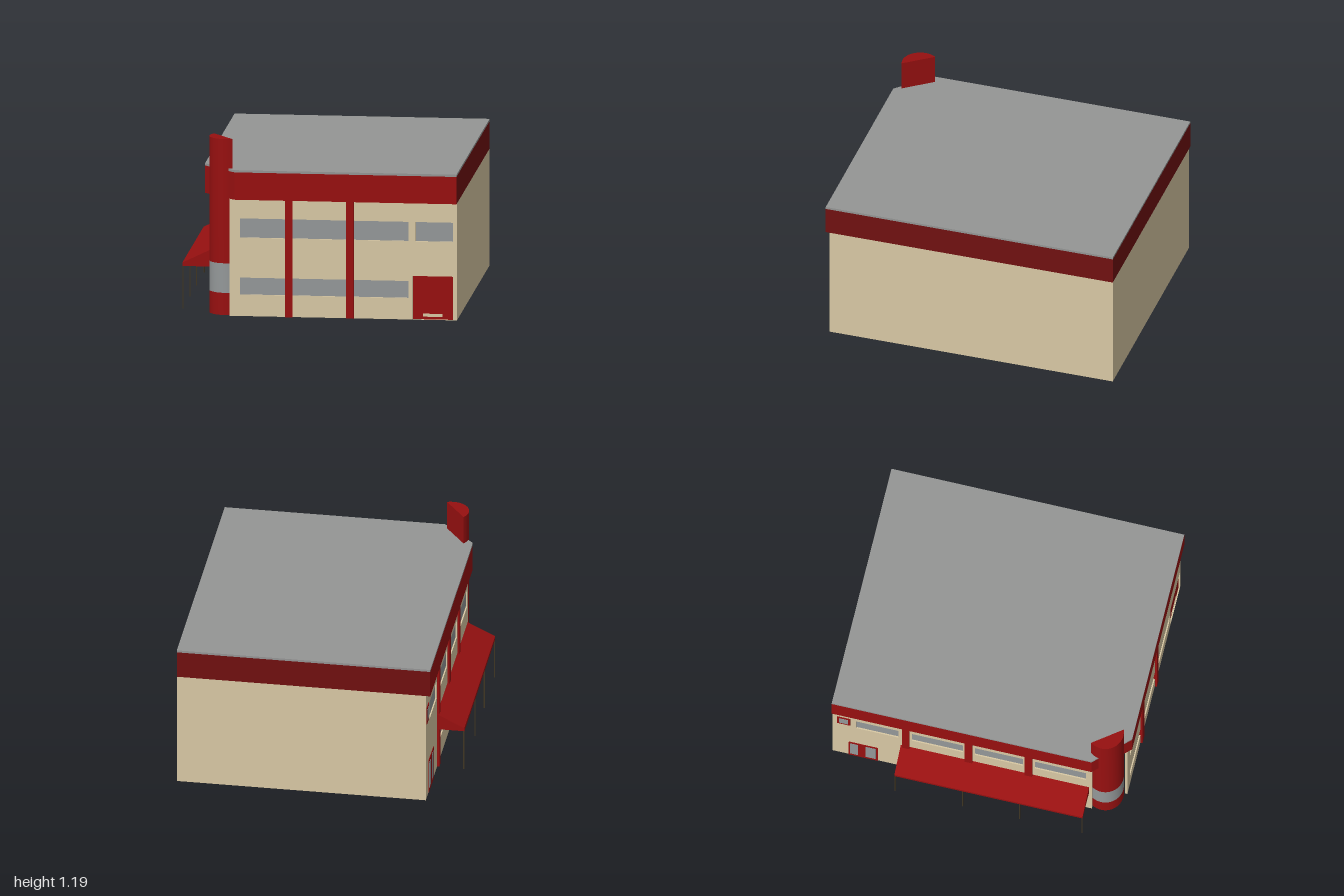
import * as THREE from 'three';
import { toCreasedNormals } from 'three/addons/utils/BufferGeometryUtils.js';

const material = (name, color, side = THREE.FrontSide) => {
  const m = new THREE.MeshStandardMaterial({ color, side });
  m.name = name;
  return m;
};

export function createModel() {
  const tan = material('tan wall', 0xd8c8a4);
  const red = material('red trim', 0x971010);
  const darkRed = material('dark red trim', 0x701010);
  const grey = material('grey roof', 0x949594);
  const glass = material('window grey', 0x949899);
  const brown = material('post brown', 0x3f3522);

  const model = new THREE.Group();
  model.name = 'building';

  const add = (parent, name, geometry, mat) => {
    const mesh = new THREE.Mesh(geometry, mat);
    mesh.name = name;
    parent.add(mesh);
    return mesh;
  };
  // box given by its lower and upper limits on each axis
  const box = (parent, name, mat, x0, x1, y0, y1, z0, z1) => {
    const mesh = add(parent, name, new THREE.BoxGeometry(x1 - x0, y1 - y0, z1 - z0), mat);
    mesh.position.set((x0 + x1) / 2, (y0 + y1) / 2, (z0 + z1) / 2);
    return mesh;
  };
  // upright prism over a plan outline of [x, z] points
  const prism = (parent, name, mat, plan, y0, y1, crease = 0) => {
    const shape = new THREE.Shape(plan.map(([x, z]) => new THREE.Vector2(x, -z)));
    let g = new THREE.ExtrudeGeometry(shape, { depth: y1 - y0, bevelEnabled: false });
    g.rotateX(-Math.PI / 2).translate(0, y0, 0);
    if (crease) g = toCreasedNormals(g, crease);
    return add(parent, name, g, mat);
  };

  const EAVE = 0.79, TOP = 0.975, THICK = 0.015;

  // facade in its own plane: outer face at local z = 0, openings as [u0, u1, y0, y1]
  function facade(name, u0, u1, windows, doors, pillars) {
    const group = new THREE.Group();
    group.name = name;
    const rect = (Type, a, b, c, d) => new Type([[a, c], [b, c], [b, d], [a, d]]
      .map(([x, y]) => new THREE.Vector2(x, y)));
    const wall = rect(THREE.Shape, u0, u1, 0, EAVE);
    for (const [a, b, c, d] of [...windows, ...doors]) {
      wall.holes.push(rect(THREE.Path, a, b, Math.max(c, 0.002), d));
    }
    const g = new THREE.ExtrudeGeometry(wall, { depth: THICK, bevelEnabled: false });
    add(group, 'wall', g.translate(0, 0, -THICK), tan);
    for (const w of windows) box(group, 'window', glass, ...w, -0.017, -0.009);
    for (const d of doors) {
      box(group, 'door', red, ...d, -0.017, -0.009);
      const mid = (d[0] + d[1]) / 2 - 0.003;
      box(group, 'doorPlate', tan, mid - 0.065, mid + 0.065, 0.02, 0.04, -0.02, -0.006);
    }
    for (const [u, bottom] of pillars) {
      box(group, 'pillar', red, u - 0.025, u + 0.025, bottom, EAVE, -0.02, 0.015);
    }
    model.add(group);
    return group;
  }

  // front
  const front = facade('frontFacade', -0.59, 0.93,
    [[-0.52, 0.605, 0.53, 0.66], [0.655, 0.905, 0.53, 0.66], [-0.52, 0.605, 0.145, 0.26]],
    [[0.635, 0.905, 0, 0.295]],
    [[-0.193, 0], [0.217, 0]]);
  front.position.z = 0.975;

  // entrance side, u runs along z
  const left = facade('sideFacade', -1, 0.77,
    [[-0.84, -0.55, 0.53, 0.66], [-0.46, -0.11, 0.53, 0.66], [-0.03, 0.3, 0.53, 0.66],
      [0.38, 0.73, 0.53, 0.66], [-0.47, -0.1, 0.145, 0.26], [-0.03, 0.32, 0.145, 0.26]],
    [[0.39, 0.7, 0, 0.295]],
    [[-0.5, 0], [-0.07, 0.37], [0.34, 0.37]]);
  left.rotation.y = -Math.PI / 2;
  left.position.x = -0.745;

  // small framed window and glazed rear door
  box(left, 'smallWindowFrame', red, -0.97, -0.88, 0.56, 0.68, -0.018, 0.004);
  box(left, 'smallWindowPane', glass, -0.955, -0.895, 0.58, 0.66, -0.02, 0.006);
  box(left, 'rearDoorFrame', red, -0.89, -0.69, 0, 0.24, -0.018, 0.004);
  for (const [a, b] of [[-0.88, -0.825], [-0.775, -0.705]]) {
    box(left, 'rearDoorPane', glass, a, b, 0.03, 0.22, -0.02, 0.006);
  }

  // plain walls
  box(model, 'rightWall', tan, 0.93 - THICK, 0.93, 0, EAVE, -1, 0.96);
  box(model, 'backWall', tan, -0.73, 0.93 - THICK, 0, EAVE, -1, -1 + THICK);

  // fascia band, one mitred piece per edge, with the roof on top
  const outer = [[-0.775, -1], [0.93, -1], [0.93, 1], [-0.555, 1], [-0.775, 0.775]];
  const inner = [[-0.73, -0.985], [0.915, -0.985], [0.915, 0.96], [-0.54, 0.96], [-0.73, 0.755]];
  const edges = ['back', 'right', 'front', 'corner', 'left'];
  edges.forEach((edge, i) => {
    const j = (i + 1) % outer.length;
    prism(model, edge + 'Fascia', i < 2 ? darkRed : red,
      [outer[i], outer[j], inner[j], inner[i]], EAVE, TOP);
  });
  prism(model, 'roof', grey, outer, TOP, 0.99);

  // rounded corner tower, flat on its inner side
  const plan = [];
  const cx = -0.617, cz = 0.832, radius = 0.123;
  const a0 = Math.atan2(0.945 - cz, -0.575 - cx);
  const a1 = Math.atan2(0.755 - cz, -0.72 - cx) + Math.PI * 2;
  for (let i = 0; i <= 24; i++) {
    const a = a0 + (a1 - a0) * i / 24;
    plan.push([cx + radius * Math.cos(a), cz + radius * Math.sin(a)]);
  }
  prism(model, 'towerBase', red, plan, 0, 0.15, 0.6);
  prism(model, 'towerBand', glass, plan, 0.15, 0.35, 0.6);
  prism(model, 'towerShaft', red, plan, 0.35, 1.19, 0.6);
  const lining = box(model, 'towerLining', tan, -0.12, 0.12, 0.005, 0.35, -0.004, 0.004);
  lining.position.x = -0.643;
  lining.position.z = 0.847;
  lining.rotation.y = -Math.atan2(0.19, 0.145);

  // sloping awning on thin posts
  const profile = new THREE.Shape([[-0.93, 0.287], [-0.745, 0.287], [-0.745, 0.4], [-0.93, 0.31]]
    .map(([x, y]) => new THREE.Vector2(x, y)));
  const awning = new THREE.ExtrudeGeometry(profile, { depth: 1.285, bevelEnabled: false });
  add(model, 'awning', awning.translate(0, 0, -0.535), red);
  for (const z of [-0.531, -0.07, 0.32, 0.746]) {
    box(model, 'awningPost', brown, -0.93, -0.922, 0, 0.287, z - 0.004, z + 0.004);
  }

  return model;
}
